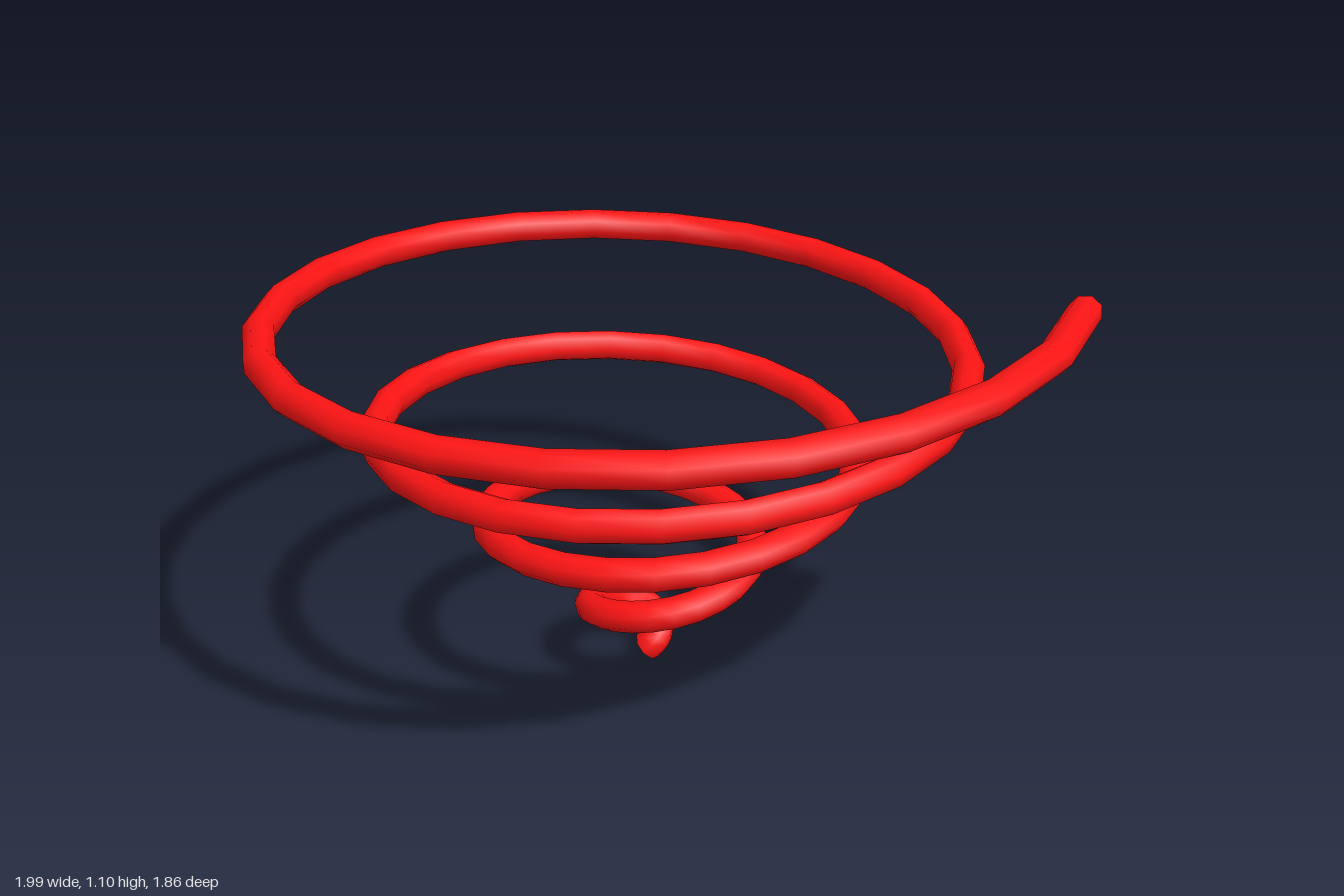
import * as THREE from 'three';

const TURNS = 4;
const END_RADIUS = 1.024; // spiral radius at the top
const RISE = 1.032; // height from first to last centre point
const WIRE = 0.04; // wire radius

// Conical spiral: radius and height grow evenly with the angle
class ConeSpiral extends THREE.Curve {
  getPoint(t, target = new THREE.Vector3()) {
    const a = t * TURNS * Math.PI * 2;
    const r = t * END_RADIUS;
    return target.set(-0.064 + r * Math.cos(a), 0.03 + t * RISE, -0.064 - r * Math.sin(a));
  }

  // Even steps in angle, so the small coils stay round
  getUtoTmapping(u) {
    return u;
  }
}

export function createModel() {
  const group = new THREE.Group();
  group.name = 'conicalSpring';

  // Open-ended wire
  const wire = new THREE.Mesh(
    new THREE.TubeGeometry(new ConeSpiral(), 100, WIRE, 8, false),
    new THREE.MeshStandardMaterial({ color: 0xff1414, side: THREE.DoubleSide })
  );
  wire.name = 'spiralWire';
  group.add(wire);
  return group;
}
